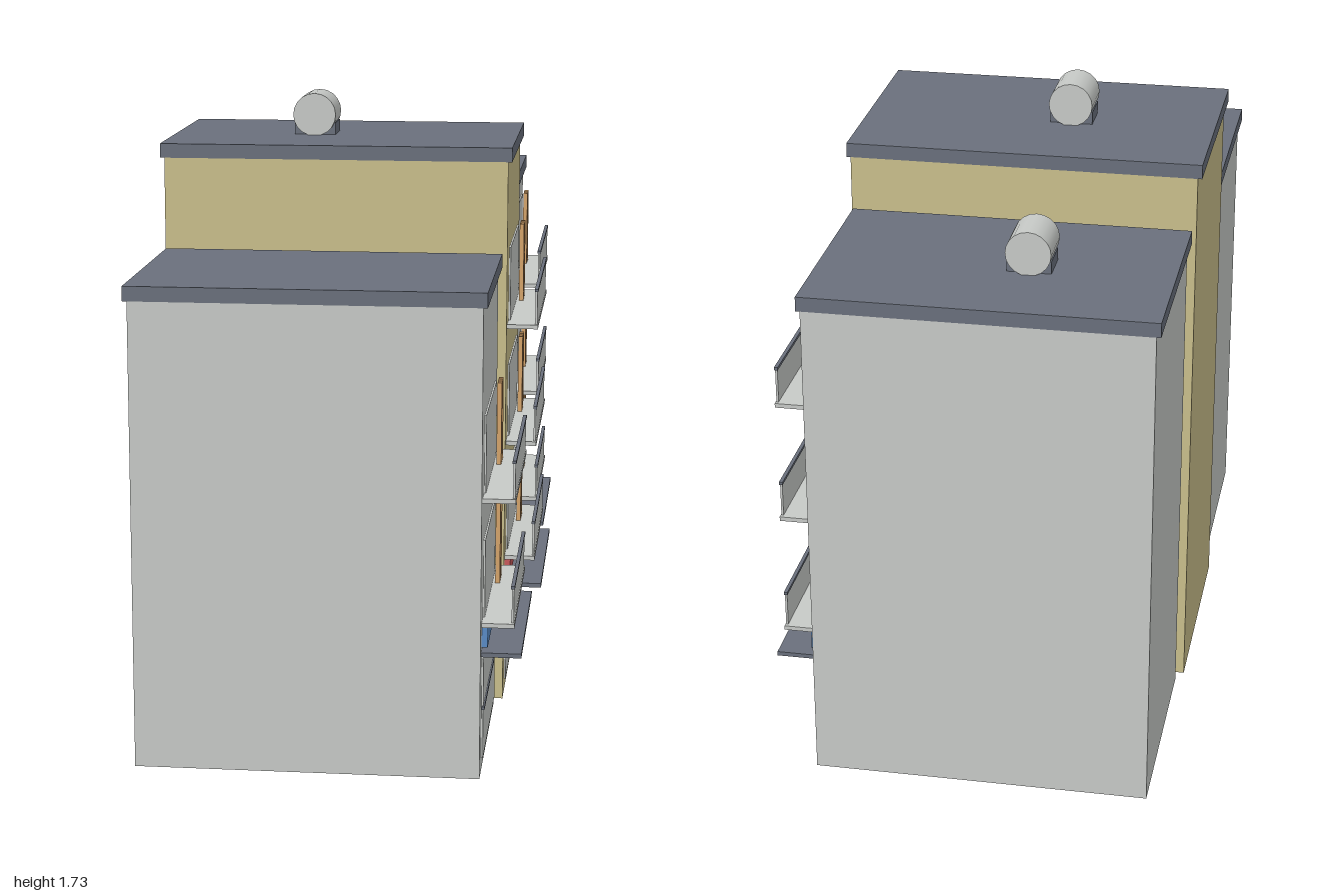
import * as THREE from 'three';

const mat = (name, color) => {
  const m = new THREE.MeshStandardMaterial({ color });
  m.name = name;
  return m;
};

export function createModel() {
  const concrete = mat('pale concrete', 0xc7cac7);
  const ochre = mat('ochre render', 0xcabf8c);
  const slate = mat('slate', 0x6a707c);
  const blue = mat('blue sign', 0x5a8cc6);
  const red = mat('red sign', 0xc95a5c);
  const wood = mat('light wood', 0xd6a56c);

  // Box given by its limits on each axis
  function box(group, name, material, [x0, x1], [y0, y1], [z0, z1]) {
    const mesh = new THREE.Mesh(new THREE.BoxGeometry(x1 - x0, y1 - y0, z1 - z0), material);
    mesh.position.set((x0 + x1) / 2, (y0 + y1) / 2, (z0 + z1) / 2);
    mesh.name = name;
    group.add(mesh);
  }
  const span = (half, centre = 0) => [centre - half, centre + half];

  // Balcony with window behind it and a group of wooden slats
  function balcony(wall, y, extra) {
    const g = new THREE.Group();
    g.name = 'balcony';
    box(g, 'window', concrete, [wall - 0.002, wall + 0.005], [y, y + 0.217], span(0.225));
    box(g, 'slab', concrete, [wall, wall + 0.087], [y - 0.006, y + 0.006], span(0.285 + extra));
    box(g, 'parapet', concrete, [wall + 0.079, wall + 0.085], [y + 0.006, y + 0.102], span(0.274 + extra));
    box(g, 'handrail', slate, [wall + 0.077, wall + 0.087], [y + 0.1, y + 0.108], span(0.278 + extra));
    for (let i = 0; i < 4; i++) {
      box(g, 'slat', wood, [wall + 0.013, wall + 0.026], [y - 0.015, y + 0.236],
        span(0.004, -0.104 - i * 0.025));
    }
    return g;
  }

  // Shop front at street level: window, bar, sign board and canopy
  function shop(wall, sign, extra) {
    const g = new THREE.Group();
    g.name = 'shopFront';
    box(g, 'shopWindow', concrete, [wall - 0.002, wall + 0.005], [0.037, 0.316], span(0.257));
    box(g, 'windowBar', slate, [wall + 0.001, wall + 0.009], [0.176, 0.184], span(0.265 + extra));
    box(g, 'signBoard', sign, [wall, wall + 0.016], [0.352, 0.41], span(0.27 + extra));
    box(g, 'canopy', slate, [wall, wall + 0.107], [0.333, 0.345], span(0.296 + extra));
    return g;
  }

  // Water tank lying on a cradle
  function tank(y) {
    const g = new THREE.Group();
    g.name = 'waterTank';
    box(g, 'cradle', slate, span(0.06, -0.142), [y, y + 0.035], span(0.051));
    const drum = new THREE.Mesh(new THREE.CylinderGeometry(0.062, 0.062, 0.137, 20), concrete);
    drum.rotation.x = Math.PI / 2;
    drum.position.set(-0.142, y + 0.059, 0);
    drum.name = 'drum';
    g.add(drum);
    return g;
  }

  const buildings = [
    { name: 'frontBuilding', z: 0.681, half: 0.319, back: -0.518, wall: 0.414, top: 1.316, floors: 2, body: concrete, sign: blue, extra: 0, tank: false },
    { name: 'middleBuilding', z: 0, half: 0.328, back: -0.538, wall: 0.437, top: 1.61, floors: 3, body: ochre, sign: red, extra: 0.011, tank: true },
    { name: 'backBuilding', z: -0.681, half: 0.319, back: -0.518, wall: 0.414, top: 1.43, floors: 3, body: concrete, sign: blue, extra: 0, tank: true },
  ];

  const model = new THREE.Group();
  model.name = 'apartmentRow';
  for (const b of buildings) {
    const g = new THREE.Group();
    g.name = b.name;
    g.position.z = b.z;
    box(g, 'walls', b.body, [b.back, b.wall], [0, b.top - 0.04], span(b.half - 0.001));
    box(g, 'roof', slate, [b.back - 0.012, b.wall + 0.011], [b.top - 0.04, b.top], span(b.half));
    g.add(shop(b.wall, b.sign, b.extra));
    for (let i = 0; i < b.floors; i++) g.add(balcony(b.wall, 0.417 + i * 0.34, b.extra));
    if (b.tank) g.add(tank(b.top));
    model.add(g);
  }
  return model;
}
